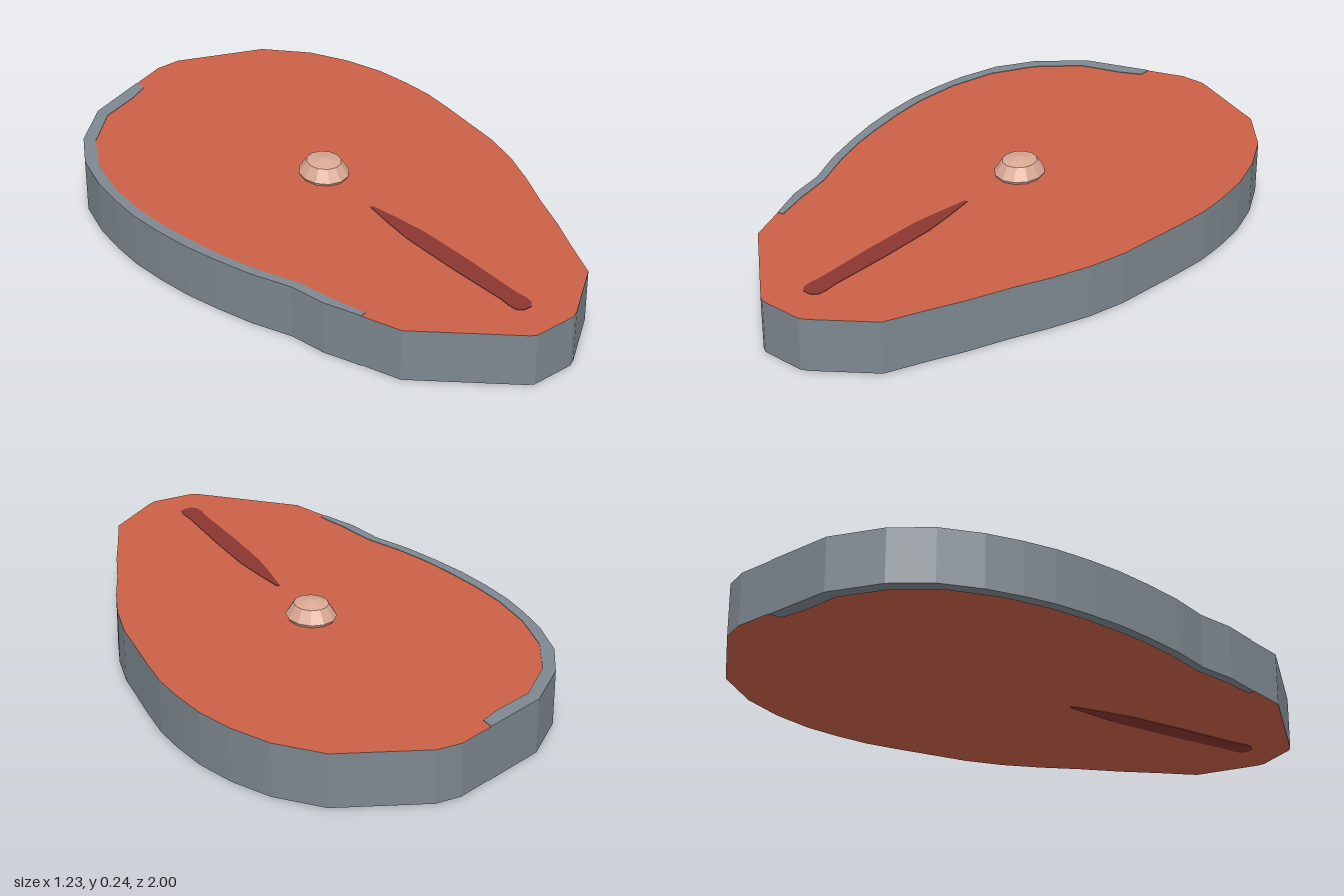
import * as THREE from 'three';

const TOP = 0.18;
const PLATE = 0.002;

const flesh = new THREE.MeshStandardMaterial({ name: 'salmon flesh', color: 0xcb6146 });
const skin = new THREE.MeshStandardMaterial({ name: 'grey skin', color: 0x7e8890 });
const cavity = new THREE.MeshStandardMaterial({ name: 'dark red cavity', color: 0x8a3631 });
const bone = new THREE.MeshStandardMaterial({ name: 'pale bone', color: 0xd9a893, flatShading: true });

// Outline of the steak as [x, z], running from the back down the +x side to the front
const leftSide = [
  [0, -1], [0.085, -1], [0.37, -0.88], [0.487, -0.75], [0.552, -0.62], [0.592, -0.49],
  [0.608, -0.37], [0.614, -0.26], [0.604, -0.14], [0.59, -0.02], [0.577, 0.1], [0.545, 0.23],
  [0.497, 0.355], [0.44, 0.48], [0.388, 0.61], [0.33, 0.735], [0.275, 0.86], [0.1, 0.988], [0.075, 1],
];
const frontTip = [[-0.07, 1], [-0.09, 0.988], [-0.36, 0.735]];
// The stretch of the -x edge where the skin wraps onto the cut faces
const skinEdge = [
  [-0.405, 0.605], [-0.45, 0.485], [-0.472, 0.36], [-0.525, 0.23], [-0.562, 0.1], [-0.59, -0.02],
  [-0.606, -0.14], [-0.614, -0.26], [-0.608, -0.37], [-0.592, -0.49], [-0.552, -0.63],
  [-0.475, -0.755], [-0.335, -0.88], [-0.12, -0.957],
];
const skinInner = [
  [-0.12, -0.915], [-0.19, -0.88], [-0.325, -0.835], [-0.45, -0.72], [-0.53, -0.58], [-0.57, -0.42],
  [-0.58, -0.26], [-0.57, -0.13], [-0.55, 0], [-0.53, 0.1], [-0.495, 0.22], [-0.44, 0.36],
  [-0.415, 0.49], [-0.385, 0.6],
];
// Half of the belly cavity slit
const slitHalf = [
  [0.005, 0.17], [0.02, 0.27], [0.033, 0.38], [0.035, 0.58], [0.03, 0.8], [0.034, 0.84],
  [0.03, 0.87], [0.014, 0.885],
];

// Flat slab with its outline in x and z, standing on height y
function slab(name, points, y, height, material) {
  const shape = new THREE.Shape(points.map(([x, z]) => new THREE.Vector2(x, z)));
  const geometry = new THREE.ExtrudeGeometry(shape, { depth: height, bevelEnabled: false });
  geometry.rotateX(Math.PI / 2);
  geometry.translate(0, y + height, 0);
  const mesh = new THREE.Mesh(geometry, material);
  mesh.name = name;
  return mesh;
}

export function createModel() {
  const model = new THREE.Group();
  model.name = 'fishSteak';

  // Body: flesh on the cut faces, skin around the side
  const outline = [...leftSide, ...frontTip, ...skinEdge];
  model.add(slab('steakBody', outline, PLATE, TOP - PLATE, [flesh, skin]));

  // Skin rim and cavity slit on both cut faces
  const rim = [...skinEdge, ...skinInner];
  const slit = [...slitHalf, ...slitHalf.map(([x, z]) => [-x, z]).reverse()];
  for (const [side, y] of [['top', TOP], ['bottom', 0]]) {
    model.add(slab(side + 'SkinRim', rim, y, PLATE, skin));
    model.add(slab(side + 'CavitySlit', slit, y, PLATE, cavity));
  }

  // Backbone knob, a faceted dome slightly longer in z
  const profile = [[0.072, 0.175], [0.08, 0.19], [0.055, 0.23], [0, 0.243]]
    .map(([r, y]) => new THREE.Vector2(r, y));
  const knob = new THREE.Mesh(new THREE.LatheGeometry(profile, 12), bone);
  knob.name = 'backbone';
  knob.scale.z = 1.1;
  knob.position.set(0.01, 0, -0.083);
  model.add(knob);

  return model;
}
